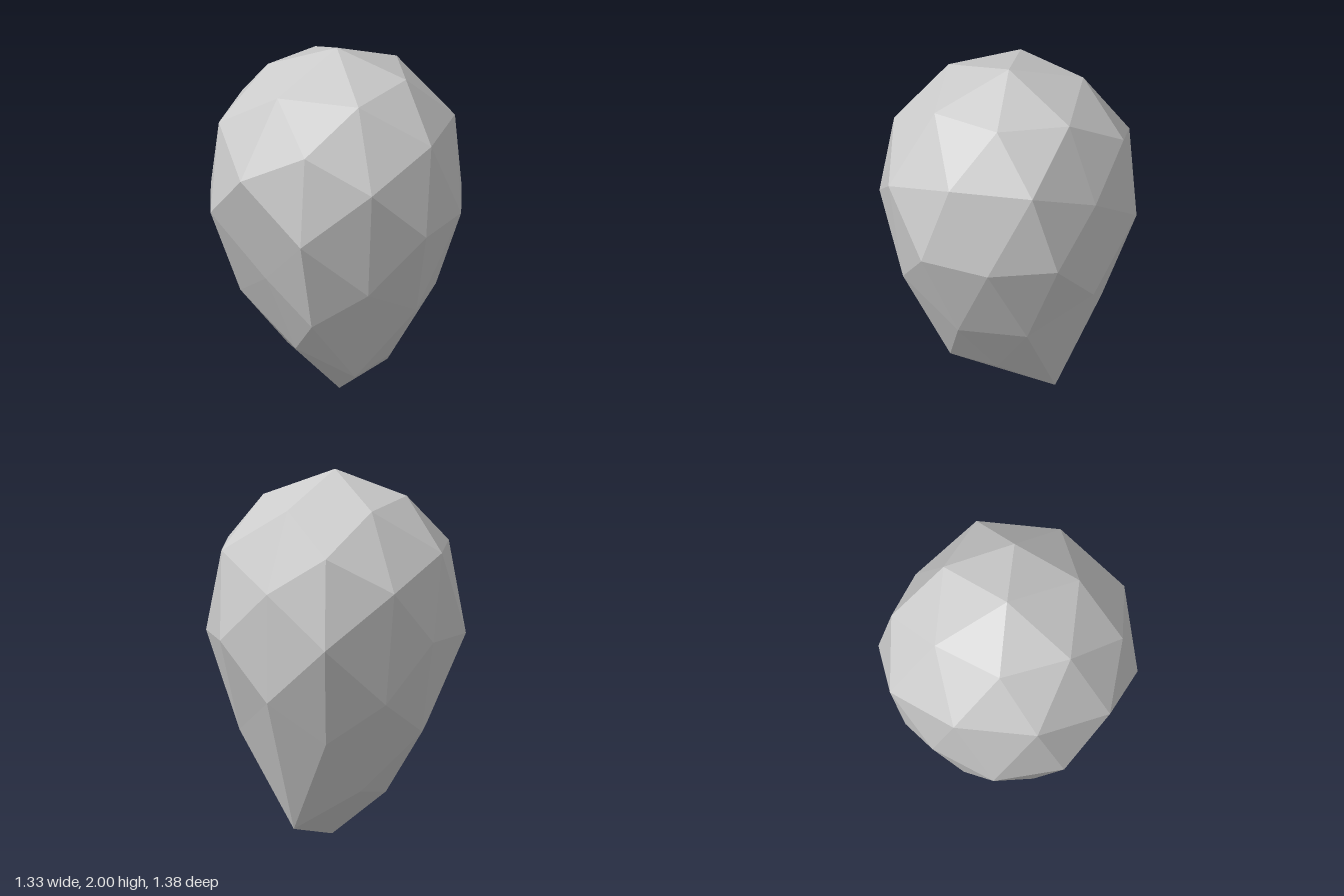
import * as THREE from 'three';

// Hand-placed corners: [direction on the unit sphere, final position]
const at = (deg) => [Math.cos(deg * Math.PI / 180), Math.sin(deg * Math.PI / 180), 0];
const placed = [
  [[0, 0, 1], [0.03, 1.11, 0.69]],
  [[0, 0, -1], [0.03, 1.11, -0.69]],
  [at(90), [0.03, 2, -0.03]],
  [at(270), [0.03, 0, -0.01]],
  [at(18), [0.655, 1.39, -0.03]],
  [at(198), [-0.49, 0.79, -0.03]],
  [at(234), [-0.28, 0.32, -0.02]],
  [at(306), [0.38, 0.07, -0.01]],
  [[-0.263, -0.809, 0.526], [-0.12, 0.2, 0.28]],
].map(([d, p]) => [new THREE.Vector3(...d), new THREE.Vector3(...p)]);

// Egg rule: wide rounded top, tapering towards the lower tip
function shapePoint(v) {
  const fixed = placed.find(([d]) => d.distanceTo(v) < 0.08);
  if (fixed) return v.copy(fixed[1]);
  const { x, y, z } = v;
  const width = y > 0 ? 0.71 + 0.03 * Math.min(1, y / 0.3) : 0.7 + 0.175 * y;
  const height = y > 0 ? y * (1.04 - 0.19 * y) : y * 1.03;
  const shift = -0.03 + 0.02 * Math.max(0, -y);
  return v.set(0.03 + x * width, 1.11 + height, shift + z * width);
}

export function createModel() {
  const group = new THREE.Group();
  group.name = 'facetedStone';

  // Icosphere with its five-sided poles on the z axis
  const geometry = new THREE.IcosahedronGeometry(1, 1);
  geometry.rotateX(Math.atan(2 / (1 + Math.sqrt(5))));
  geometry.rotateZ(Math.PI / 2);

  const pos = geometry.attributes.position;
  const v = new THREE.Vector3();
  for (let i = 0; i < pos.count; i++) {
    shapePoint(v.fromBufferAttribute(pos, i));
    pos.setXYZ(i, v.x, v.y, v.z);
  }
  geometry.computeVertexNormals();

  const stone = new THREE.Mesh(
    geometry,
    new THREE.MeshStandardMaterial({ color: 0xcccccc, flatShading: true })
  );
  stone.name = 'stone';
  group.add(stone);
  return group;
}
